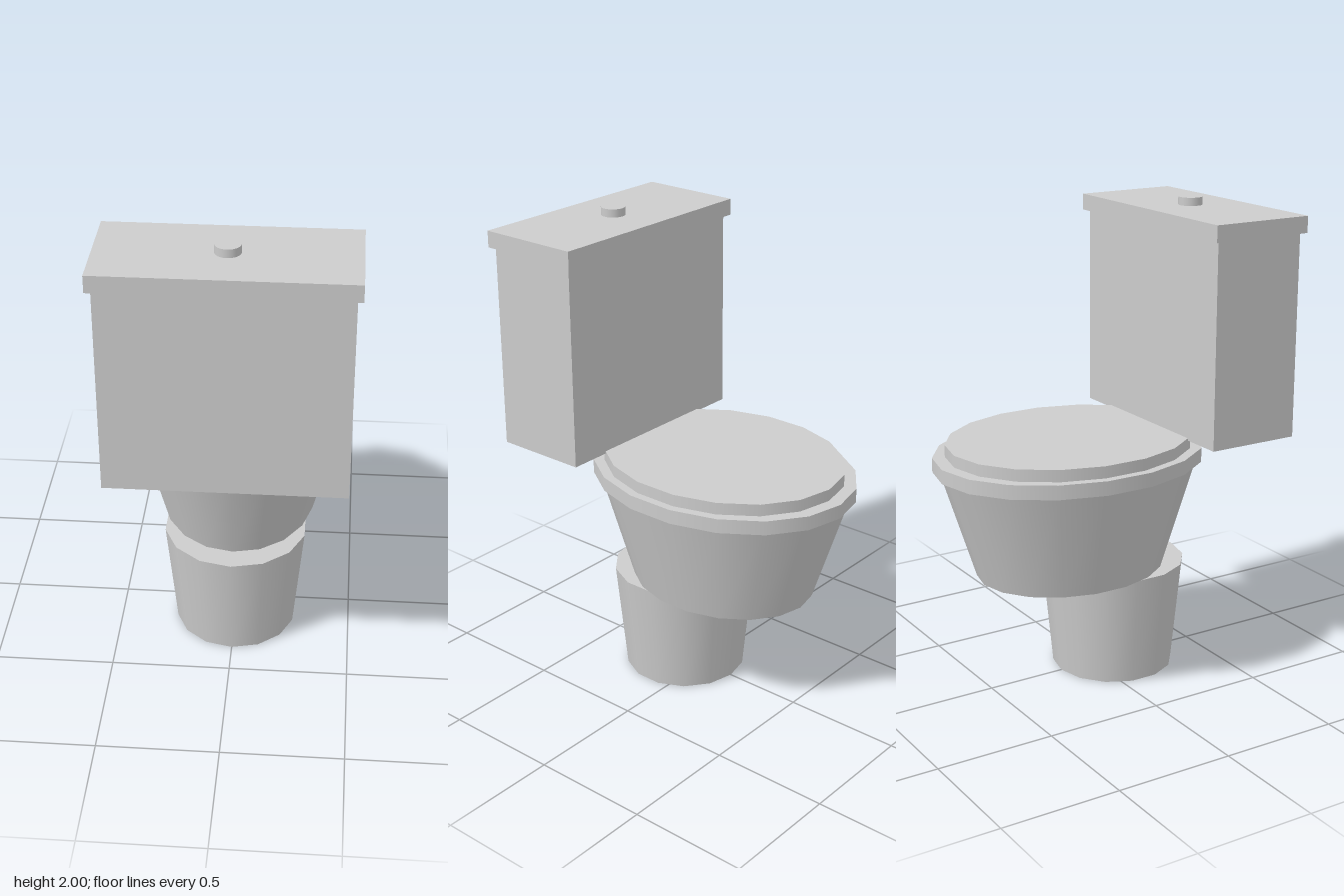
import * as THREE from 'three';

export function createModel() {
  const model = new THREE.Group();
  model.name = 'toilet';
  const ceramic = new THREE.MeshStandardMaterial({ color: 0xcccccc });
  ceramic.name = 'grey ceramic';

  function add(name, geometry, y, z) {
    const mesh = new THREE.Mesh(geometry, ceramic);
    mesh.name = name;
    mesh.position.set(0, y, z);
    model.add(mesh);
  }

  // Tapered elliptical drum between two heights; radii are [x, z]
  function drum(name, y0, y1, z, bottom, top, sides) {
    const geometry = new THREE.CylinderGeometry(top[0], bottom[0], y1 - y0, sides);
    geometry.scale(1, 1, top[1] / top[0]);
    geometry.computeBoundingBox();
    add(name, geometry, (y0 + y1) / 2, z);
  }

  // Box between two heights and two depths
  function slab(name, width, y0, y1, z0, z1) {
    add(name, new THREE.BoxGeometry(width, y1 - y0, z1 - z0), (y0 + y1) / 2, (z0 + z1) / 2);
  }

  // Foot, bowl, seat and lid
  drum('pedestal', 0, 0.475, 0.102, [0.26, 0.26], [0.306, 0.306], 14);
  drum('bowl', 0.475, 0.945, -0.11, [0.33, 0.414], [0.45, 0.565], 18);
  drum('seat', 0.945, 1.005, -0.11, [0.472, 0.593], [0.472, 0.593], 18);
  drum('seatLid', 1.005, 1.055, -0.11, [0.437, 0.537], [0.437, 0.537], 18);

  // Water tank with its cover and flush button
  slab('tank', 0.948, 1.045, 1.897, 0.281, 0.684);
  slab('tankCover', 0.99, 1.897, 1.966, 0.259, 0.704);
  drum('flushButton', 1.966, 2, 0.48, [0.051, 0.051], [0.051, 0.051], 18);

  return model;
}
